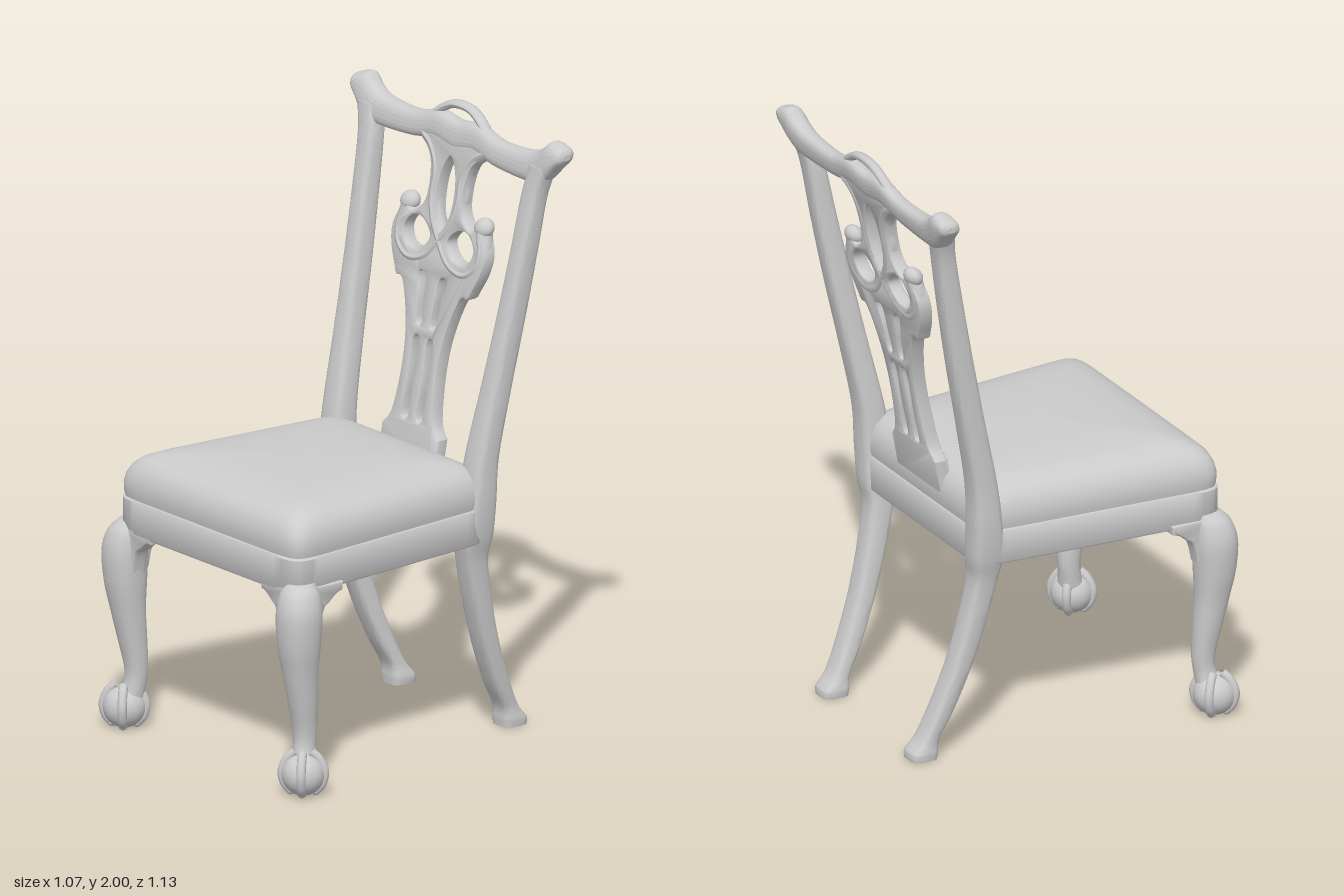
import * as THREE from 'three';
import { toCreasedNormals } from 'three/addons/utils/BufferGeometryUtils.js';

const material = new THREE.MeshStandardMaterial({ color: 0xcccccc, roughness: 0.8 });
const V = (x, y, z = 0) => new THREE.Vector3(x, y, z);

// Closed skin over a list of rings, capped at both ends and wound outwards
function skin(rings) {
  const n = rings[0].length, pts = rings.flat(), idx = [];
  for (let i = 0; i < rings.length - 1; i++)
    for (let j = 0; j < n; j++) {
      const a = i * n + j, b = i * n + (j + 1) % n;
      idx.push(a, a + n, b, b, a + n, b + n);
    }
  [[0, 1], [rings.length - 1, -1]].forEach(([r, dir]) => {
    const c = pts.length;
    pts.push(rings[r].reduce((s, p) => s.add(p), V(0, 0)).divideScalar(n));
    for (let j = 0; j < n; j++) {
      const a = r * n + j, b = r * n + (j + 1) % n;
      if (dir > 0) idx.push(c, a, b); else idx.push(c, b, a);
    }
  });
  let volume = 0;
  for (let i = 0; i < idx.length; i += 3)
    volume += pts[idx[i]].dot(V(0, 0).crossVectors(pts[idx[i + 1]], pts[idx[i + 2]]));
  if (volume < 0) idx.reverse();
  const g = new THREE.BufferGeometry().setFromPoints(pts);
  g.setIndex(idx);
  return toCreasedNormals(g, 0.8);
}

const power = (v, e) => Math.sign(v) * Math.abs(v) ** e;

// Smooth loft through stations [x, y, z, radiusA, radiusB]; rings lie across the given axis
function loft(stations, axis, exponent, steps, sides = 24) {
  const path = new THREE.CatmullRomCurve3(stations.map(s => V(s[0], s[1], s[2])), false, 'catmullrom');
  const size = new THREE.CatmullRomCurve3(stations.map(s => V(s[3], s[4])), false, 'catmullrom');
  const rings = [];
  for (let i = 0; i <= steps; i++) {
    const c = path.getPoint(i / steps), r = size.getPoint(i / steps), ring = [];
    for (let j = 0; j < sides; j++) {
      const a = j / sides * Math.PI * 2;
      const u = r.x * power(Math.cos(a), 2 / exponent), v = r.y * power(Math.sin(a), 2 / exponent);
      ring.push(axis === 'y' ? V(c.x + u, c.y, c.z + v) : V(c.x, c.y + u, c.z + v));
    }
    rings.push(ring);
  }
  return skin(rings);
}

// Lean a flat part backwards along the slope of the chair back
function lean(g) {
  const p = g.attributes.position;
  for (let i = 0; i < p.count; i++) p.setZ(i, p.getZ(i) - 0.34 - 0.19 * (p.getY(i) - 0.95));
  g.computeVertexNormals();
  return g;
}

// Tapered seat outline with rounded corners
function seatRing(inset, y) {
  const ring = [], n = 96;
  for (let j = 0; j < n; j++) {
    const a = j / n * Math.PI * 2, e = 2 / 14;
    const z = 0.0875 + (0.4325 - inset) * power(Math.sin(a), e);
    ring.push(V((0.4228 + 0.0844 * z - inset) * power(Math.cos(a), e), y, z));
  }
  return ring;
}

function tube(points, r, segments = 60) {
  return new THREE.TubeGeometry(new THREE.CatmullRomCurve3(points), segments, r, 10);
}

function splatGeometry() {
  const edge = new THREE.SplineCurve([
    [0.14, 0.94], [0.108, 0.98], [0.094, 1.05], [0.088, 1.15], [0.095, 1.24], [0.118, 1.33],
    [0.15, 1.4], [0.18, 1.405], [0.195, 1.43], [0.225, 1.49], [0.235, 1.55], [0.215, 1.605],
    [0.19, 1.64], [0.15, 1.62], [0.115, 1.638], [0.09, 1.68], [0.088, 1.75], [0.105, 1.81],
    [0.15, 1.855], [0.16, 1.89]].map(p => new THREE.Vector2(...p))).getPoints(90);
  const half = [new THREE.Vector2(0.14, 0.8), ...edge];
  const flip = pts => pts.map(p => new THREE.Vector2(-p.x, p.y)).reverse();
  const shape = new THREE.Shape([...half, ...flip(half)]);
  const hole = pts => shape.holes.push(new THREE.Path(pts));
  const closed = pts => new THREE.CatmullRomCurve3(pts.map(p => V(...p)), true)
    .getPoints(28).slice(0, -1).map(p => new THREE.Vector2(p.x, p.y));
  // Central pointed oval
  hole(closed([[0, 1.585], [0.033, 1.64], [0.042, 1.71], [0.03, 1.78], [0, 1.826],
    [-0.03, 1.78], [-0.042, 1.71], [-0.033, 1.64]]));
  // Scroll openings and long slits
  const pairs = [
    closed([[0.045, 1.56], [0.09, 1.605], [0.14, 1.605], [0.175, 1.56], [0.15, 1.512], [0.085, 1.512]]),
    closed([[0.026, 1.28], [0.044, 1.28], [0.055, 1.37], [0.07, 1.44], [0.04, 1.44], [0.03, 1.37]]),
    closed([[0.025, 0.98], [0.046, 0.98], [0.046, 1.1], [0.044, 1.24], [0.026, 1.24], [0.025, 1.1]])];
  pairs.forEach(p => { hole(p); hole(flip(p)); });
  const g = new THREE.ExtrudeGeometry(shape, {
    depth: 0.03, bevelEnabled: true, bevelThickness: 0.01, bevelSize: 0.008, bevelOffset: -0.008, bevelSegments: 2 });
  g.translate(0, 0, -0.015);
  return toCreasedNormals(lean(g), 0.7);
}

function bracketGeometry() {
  const s = new THREE.Shape();
  s.moveTo(0, 0.68);
  s.lineTo(0.155, 0.68);
  s.lineTo(0.152, 0.66);
  s.bezierCurveTo(0.12, 0.655, 0.11, 0.63, 0.085, 0.62);
  s.quadraticCurveTo(0.07, 0.6, 0.06, 0.54);
  s.lineTo(0, 0.54);
  const g = new THREE.ExtrudeGeometry(s, { depth: 0.034, bevelThickness: 0.012, bevelSize: 0.006, bevelSegments: 3 });
  g.translate(0, 0, -0.017);
  return toCreasedNormals(g, 0.8);
}

export function createModel() {
  const chair = new THREE.Group();
  const add = (name, geometry, parent = chair) => {
    const m = new THREE.Mesh(geometry, material);
    m.name = name;
    parent.add(m);
    return m;
  };

  // Seat
  add('seatFrame', skin([[0.004, 0.668], [0, 0.674], [0, 0.78], [0.006, 0.786]].map(r => seatRing(...r))));
  add('seatCushion', skin([[0.008, 0.775], [0.003, 0.8], [0.002, 0.83], [0.008, 0.86], [0.022, 0.888], [0.045, 0.91],
    [0.08, 0.926], [0.13, 0.937], [0.2, 0.944], [0.3, 0.948], [0.38, 0.95]].map(r => seatRing(...r))));

  for (const s of [1, -1]) {
    const side = s > 0 ? 'left' : 'right';

    // Rear leg running up into the back post
    add(side + 'RearLegAndPost', loft([
      [0.283, 0, -0.498, 0.046, 0.046], [0.283, 0.025, -0.496, 0.048, 0.046], [0.286, 0.07, -0.476, 0.042, 0.031],
      [0.295, 0.16, -0.432, 0.042, 0.034], [0.308, 0.3, -0.378, 0.043, 0.036], [0.32, 0.45, -0.335, 0.044, 0.039],
      [0.332, 0.6, -0.303, 0.046, 0.044], [0.345, 0.69, -0.3, 0.052, 0.056], [0.356, 0.8, -0.307, 0.052, 0.052],
      [0.361, 0.95, -0.322, 0.049, 0.045], [0.375, 1.17, -0.368, 0.042, 0.042], [0.39, 1.4, -0.417, 0.038, 0.041],
      [0.404, 1.62, -0.46, 0.037, 0.038], [0.416, 1.8, -0.492, 0.039, 0.034], [0.438, 1.9, -0.512, 0.042, 0.036]
    ].map(([x, ...r]) => [s * x, ...r]), 'y', 3.6, 84));

    // Cabriole front leg with ball and claw foot
    const leg = new THREE.Group();
    leg.name = side + 'FrontLeg';
    chair.add(leg);
    add('cabrioleLeg', loft([
      [0.43, 0.7, 0.472, 0.042, 0.042], [0.437, 0.665, 0.483, 0.062, 0.062], [0.443, 0.6, 0.49, 0.072, 0.072],
      [0.442, 0.5, 0.49, 0.067, 0.067], [0.438, 0.4, 0.482, 0.055, 0.055], [0.434, 0.3, 0.468, 0.046, 0.046],
      [0.429, 0.2, 0.456, 0.037, 0.037], [0.432, 0.14, 0.461, 0.036, 0.036], [0.446, 0.08, 0.475, 0.045, 0.045]
    ].map(([x, ...r]) => [s * x, ...r]), 'y', 2.3, 48), leg);
    const ball = add('ball', new THREE.SphereGeometry(0.07, 28, 20), leg);
    ball.position.set(s * 0.455, 0.07, 0.483);
    for (let k = 0; k < 4; k++) {
      const a = Math.PI / 4 + k * Math.PI / 2, c = Math.cos(a), d = Math.sin(a);
      const arc = [[0.025, 0.145], [0.05, 0.122], [0.068, 0.08], [0.06, 0.04], [0.04, 0.016]]
        .map(([r, y]) => V(s * 0.455 + c * r, y, 0.483 + d * r));
      add('claw', tube(arc, 0.015, 20), leg);
      const tip = add('clawTip', new THREE.SphereGeometry(0.0155, 10, 8), leg);
      tip.position.copy(arc[4]);
    }
    // Knee brackets, one along the front rail and one along the side rail
    const front = add('frontKneeBracket', bracketGeometry(), leg);
    front.position.set(s * 0.44, 0, 0.49);
    front.rotation.y = s > 0 ? Math.PI : 0;
    const flank = add('sideKneeBracket', bracketGeometry(), leg);
    flank.position.set(s * 0.435, 0, 0.485);
    flank.rotation.y = Math.PI / 2;

    // Interlaced strap ending in a scroll
    const strap = tube([[0.17, 1.88], [0.1, 1.835], [0.066, 1.77], [0.066, 1.69], [0.046, 1.62], [0, 1.555],
      [-0.06, 1.493], [-0.14, 1.475], [-0.195, 1.51], [-0.207, 1.56], [-0.19, 1.625]].map(([x, y]) => V(s * x, y)), 0.024);
    add('backStrap', lean(strap.scale(1, 1, 1.2)));
    const scroll = new THREE.SphereGeometry(0.035, 18, 14).scale(1.05, 0.9, 0.85).translate(s * 0.188, 1.637, 0);
    add('scrollEnd', lean(scroll));
  }

  // Pierced splat
  add('backSplat', splatGeometry());

  // Crest rail with upturned ears
  const half = [[0.1, 1.905, 0.045, 0.03], [0.2, 1.884, 0.042, 0.031], [0.3, 1.88, 0.045, 0.033], [0.38, 1.884, 0.05, 0.036],
    [0.43, 1.897, 0.06, 0.039], [0.465, 1.92, 0.064, 0.041], [0.5, 1.937, 0.042, 0.04], [0.525, 1.945, 0.024, 0.034],
    [0.535, 1.945, 0.01, 0.015]];
  const row = s => half.map(([x, y, a, b]) => [s * x, y, 0, a, b]);
  add('crestRail', lean(loft([...row(-1).reverse(), [0, 1.893, 0, 0.047, 0.03], ...row(1)], 'x', 2.5, 108)));

  // Raised loop at the middle of the crest
  const loop = tube([[-0.14, 1.925], [-0.1, 1.955], [-0.05, 1.98], [0, 1.986], [0.05, 1.98], [0.1, 1.955], [0.14, 1.925]]
    .map(p => V(...p)), 0.014, 40);
  add('crestLoop', lean(loop.scale(1, 1, 1.3)));

  return chair;
}
